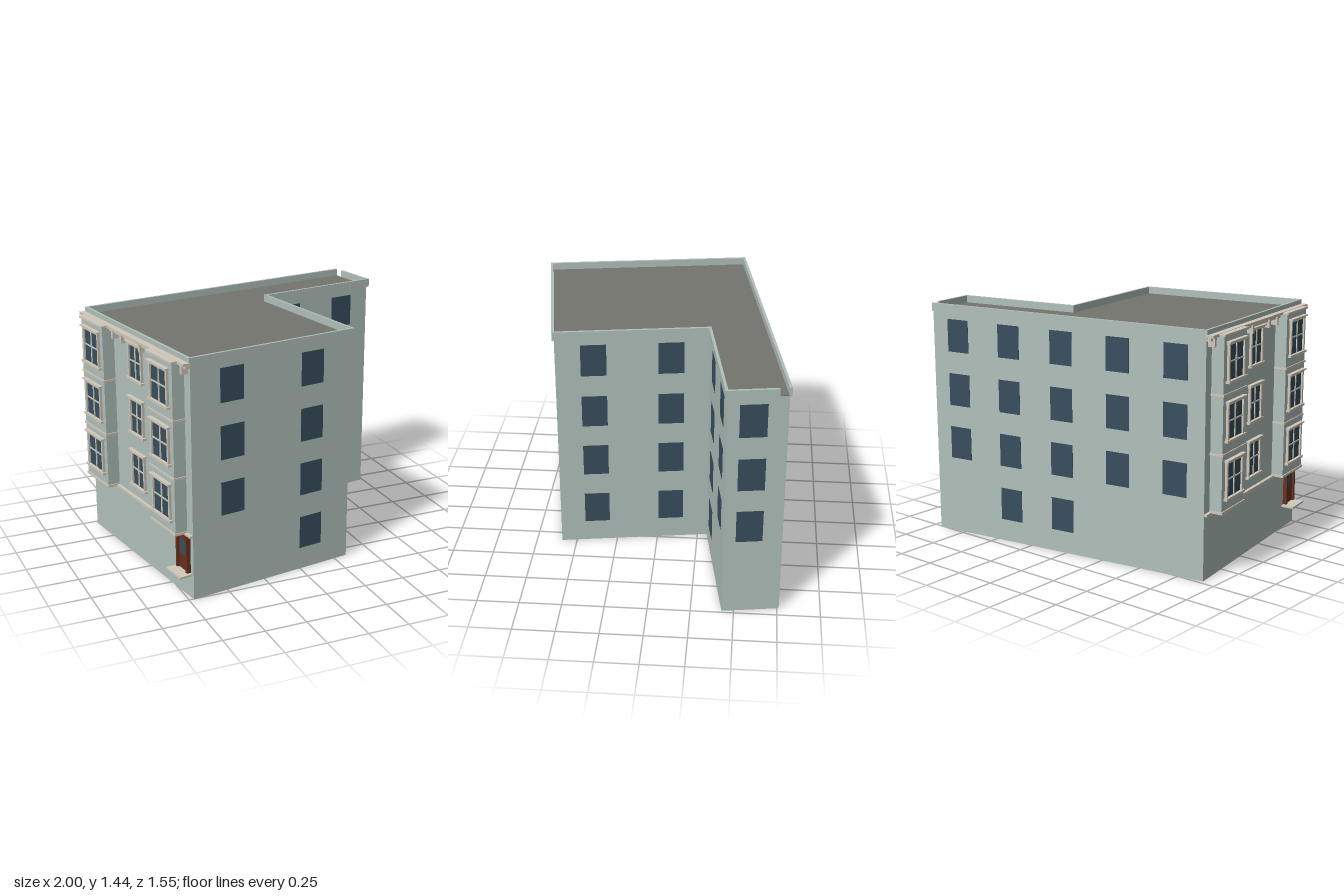
import * as THREE from 'three';

const mat = (color) => new THREE.MeshStandardMaterial({ color, flatShading: true });
const WALL = mat(0xb1c0bb), GLASS = mat(0x384e5e), ROOF = mat(0x74756e), TRIM = mat(0xd0c8ba), DOOR = mat(0x6a3020);

// Plan, in building axes: x along the long back wall, z along the decorated street facade
const LEN = 1.868, DEP = 1.245, STEP_X = 1.068, STEP_Z = 0.334, TOP = 1.39;
const FLOORS = [0.135, 0.475, 0.81, 1.145], WIN_W = 0.152, WIN_H = 0.2;

function box(parent, name, material, x0, x1, y0, y1, z0, z1) {
  const m = new THREE.Mesh(new THREE.BoxGeometry(x1 - x0, y1 - y0, z1 - z0), material);
  m.position.set((x0 + x1) / 2, (y0 + y1) / 2, (z0 + z1) / 2);
  m.name = name;
  parent.add(m);
  return m;
}

// L-shaped slab between two heights
function slab(parent, name, material, y0, y1) {
  const pts = [[0, 0], [LEN, 0], [LEN, STEP_Z], [STEP_X, STEP_Z], [STEP_X, DEP], [0, DEP]];
  const shape = new THREE.Shape(pts.map(([x, z]) => new THREE.Vector2(x, -z)));
  const geo = new THREE.ExtrudeGeometry(shape, { depth: y1 - y0, bevelEnabled: false });
  geo.rotateX(-Math.PI / 2);
  const m = new THREE.Mesh(geo, material);
  m.position.y = y0;
  m.name = name;
  parent.add(m);
}

// Plain window column on a wall facing along z (at = wall z) or along x (at = wall x)
function windowColumn(parent, axis, at, centre, withGround) {
  const t = 0.002, h = WIN_W / 2;
  FLOORS.forEach((y, i) => {
    if (i === 0 && !withGround) return;
    if (axis === 'z') box(parent, 'window', GLASS, centre - h, centre + h, y, y + WIN_H, at - t, at + t);
    else box(parent, 'window', GLASS, at - t, at + t, y, y + WIN_H, centre - h, centre + h);
  });
}

// Framed sash window on a facade plane at x, facing -x
function sashWindow(parent, x, y, z, w) {
  const g = new THREE.Group();
  g.name = 'sashWindow';
  const h = w / 2, f = 0.014, top = y + WIN_H;
  box(g, 'glass', GLASS, x - 0.004, x, y, top, z - h, z + h);
  for (const s of [-1, 1]) box(g, 'jamb', TRIM, x - 0.015, x, y, top, z + s * h - f / 2, z + s * h + f / 2);
  box(g, 'mullion', TRIM, x - 0.009, x, y, top, z - 0.005, z + 0.005);
  box(g, 'meetingRail', TRIM, x - 0.009, x, y + 0.1, y + 0.108, z - h, z + h);
  box(g, 'sill', TRIM, x - 0.022, x, y - 0.014, y, z - h - 0.02, z + h + 0.02);
  box(g, 'head', TRIM, x - 0.018, x, top, top + 0.012, z - h - 0.01, z + h + 0.01);
  box(g, 'cap', TRIM, x - 0.026, x, top + 0.012, top + 0.02, z - h - 0.02, z + h + 0.02);
  parent.add(g);
}

export function createModel() {
  const model = new THREE.Group();
  const b = new THREE.Group();
  b.name = 'building';
  b.rotation.y = THREE.MathUtils.degToRad(8.8);
  b.position.set(-0.911, 0, -0.475);
  model.add(b);

  slab(b, 'walls', WALL, 0, TOP);
  slab(b, 'roof', ROOF, TOP, TOP + 0.004);

  // Parapet, slightly overhanging, open at one back corner
  const o = 0.012, i = 0.004, p0 = 1.385, p1 = 1.437;
  const par = (x0, x1, z0, z1) => box(b, 'parapet', WALL, x0, x1, p0, p1, z0, z1);
  par(-o, LEN, -o, i);
  par(LEN - i, LEN + o, 0.055, STEP_Z + o);
  par(STEP_X - i, LEN - i, STEP_Z - i, STEP_Z + o);
  par(STEP_X - i, STEP_X + o, STEP_Z + o, DEP + o);
  par(-o, STEP_X - i, DEP - i, DEP + o);
  par(-o, i, i, DEP - i);

  // Plain windows: front, inner corner, end and back walls
  windowColumn(b, 'z', DEP, 0.263, false);
  windowColumn(b, 'z', DEP, 0.8, true);
  windowColumn(b, 'z', STEP_Z, 1.259, true);
  windowColumn(b, 'z', STEP_Z, 1.664, false);
  windowColumn(b, 'x', STEP_X, 1.02, true);
  windowColumn(b, 'x', STEP_X, 0.562, true);
  windowColumn(b, 'x', LEN, 0.189, false);
  [0.187, 0.56, 0.942, 1.313, 1.685].forEach((x, k) => windowColumn(b, 'z', 0, x, k === 2 || k === 3));

  // Street facade: two bays, a middle window column, string courses and cornice
  const facade = new THREE.Group();
  facade.name = 'streetFacade';
  b.add(facade);
  const bayD = 0.075, bayH = 0.14, bays = [0.205, 1.04];
  for (const z of bays) {
    box(facade, 'bay', WALL, -bayD, 0, 0.4, 1.4, z - bayH, z + bayH);
    for (const y of [0.73, 1.068])
      box(facade, 'bayBand', TRIM, -bayD - 0.006, 0, y - 0.006, y + 0.006, z - bayH - 0.006, z + bayH + 0.006);
    box(facade, 'bayCornice', TRIM, -bayD - 0.01, 0, 1.395, 1.408, z - bayH - 0.008, z + bayH + 0.008);
    box(facade, 'bayBase', TRIM, -bayD - 0.006, 0, 0.388, 0.402, z - bayH - 0.006, z + bayH + 0.006);
    for (const y of FLOORS.slice(1)) sashWindow(facade, -bayD, y, z, 0.19);
  }
  for (const y of FLOORS.slice(1)) sashWindow(facade, 0, y, DEP / 2, 0.15);
  box(facade, 'stringCourse', TRIM, -0.02, 0, 0.382, 0.396, 0, DEP);
  box(facade, 'cornice', TRIM, -0.05, 0, 1.395, 1.41, -0.015, DEP + 0.015);
  box(facade, 'corniceMoulding', TRIM, -0.03, 0, 1.375, 1.395, -0.005, DEP + 0.005);
  for (const z of [0.03, 0.4, 0.51, 0.735, 0.845, 1.215])
    box(facade, 'bracket', TRIM, -0.04, 0, 1.34, 1.395, z - 0.01, z + 0.01);

  // Raised entrance under the far bay
  box(facade, 'door', DOOR, -0.012, 0, 0.155, 0.37, 1.1, 1.2);
  for (const z of [1.095, 1.205]) box(facade, 'doorPost', DOOR, -0.025, 0, 0.155, 0.382, z - 0.008, z + 0.008);
  box(facade, 'doorGlass', GLASS, -0.015, 0, 0.25, 0.34, 1.12, 1.18);
  box(facade, 'doorStep', TRIM, -0.08, 0, 0.14, 0.152, 1.07, 1.23);
  return model;
}
